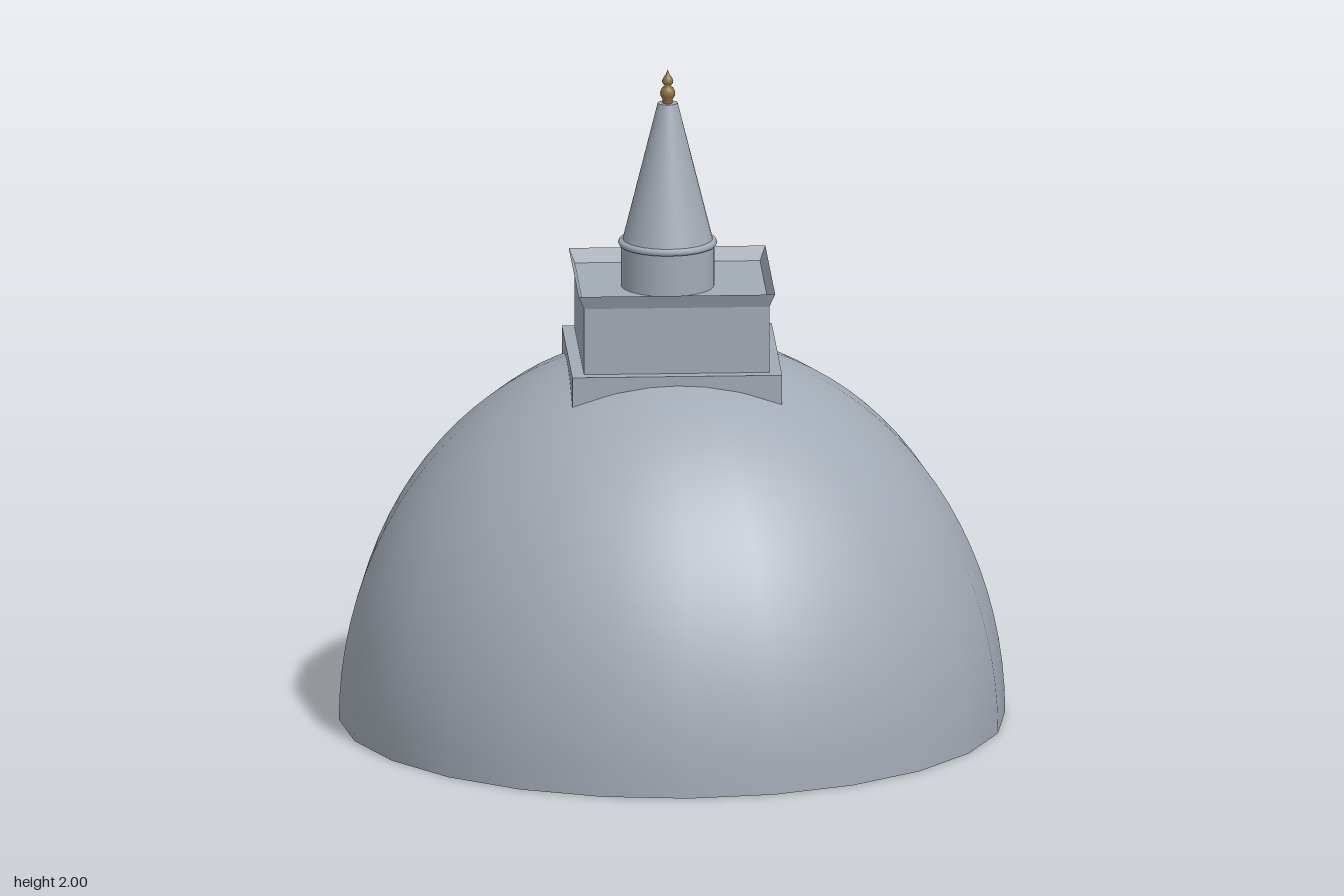
import * as THREE from 'three';

const stone = new THREE.MeshStandardMaterial({ color: 0xa2aab5 });
stone.name = 'greyStone';
stone.side = THREE.DoubleSide;
const plaster = new THREE.MeshStandardMaterial({ color: 0xb0aba4 });
plaster.name = 'warmPlaster';
const gold = new THREE.MeshStandardMaterial({ color: 0x8c7040 });
gold.name = 'agedGold';

const SPIRE_X = -0.013;

function add(group, name, geometry, material, x = 0, y = 0, z = 0) {
  const mesh = new THREE.Mesh(geometry, material);
  mesh.name = name;
  mesh.position.set(x, y, z);
  group.add(mesh);
  return mesh;
}

const lathe = (points, segments) =>
  new THREE.LatheGeometry(points.map(([r, y]) => new THREE.Vector2(r, y)), segments);

export function createModel() {
  const model = new THREE.Group();
  model.name = 'stupa';

  // Hollow dome, slightly taller than a hemisphere, open underneath
  const dome = [];
  for (let i = 0; i <= 24; i++) {
    const a = (i / 24) * Math.PI / 2;
    dome.push([i === 24 ? 0 : Math.cos(a), 1.16 * Math.sin(a)]);
  }
  add(model, 'dome', lathe(dome, 24), stone);

  // Square plinth that meets the dome in arcs
  add(model, 'plinth', new THREE.BoxGeometry(0.63, 0.1, 0.63), stone, 0, 1.08);

  // Square chamber; only its back wall is plastered
  add(model, 'chamber', new THREE.BoxGeometry(0.556, 0.205, 0.556),
    [stone, stone, stone, stone, stone, plaster], 0, 1.2305);

  // Thin flared rim around the chamber roof: a four-sided open funnel
  const rim = new THREE.CylinderGeometry(
    0.295 * Math.SQRT2, 0.278 * Math.SQRT2, 0.042, 4, 1, true, Math.PI / 4).toNonIndexed();
  rim.computeVertexNormals();
  add(model, 'roofRim', rim, stone, 0, 1.354);

  // Drum, moulding and tapering spire
  add(model, 'drum', new THREE.CylinderGeometry(0.14, 0.14, 0.13, 32), stone, SPIRE_X, 1.397);
  add(model, 'moulding', lathe([
    [0.136, 1.456], [0.145, 1.459], [0.149, 1.467], [0.145, 1.475], [0.134, 1.478],
  ], 32), stone, SPIRE_X);
  add(model, 'spire', new THREE.CylinderGeometry(0.03, 0.137, 0.427, 32), stone, SPIRE_X, 1.6835);

  // Finial with two bulbs and a pointed tip
  add(model, 'finial', lathe([
    [0.015, 1.895], [0.015, 1.908], [0.021, 1.918], [0.023, 1.93], [0.018, 1.942], [0.009, 1.95],
    [0.015, 1.957], [0.017, 1.965], [0.013, 1.975], [0.006, 1.984], [0, 2],
  ], 16), gold, SPIRE_X);

  return model;
}
